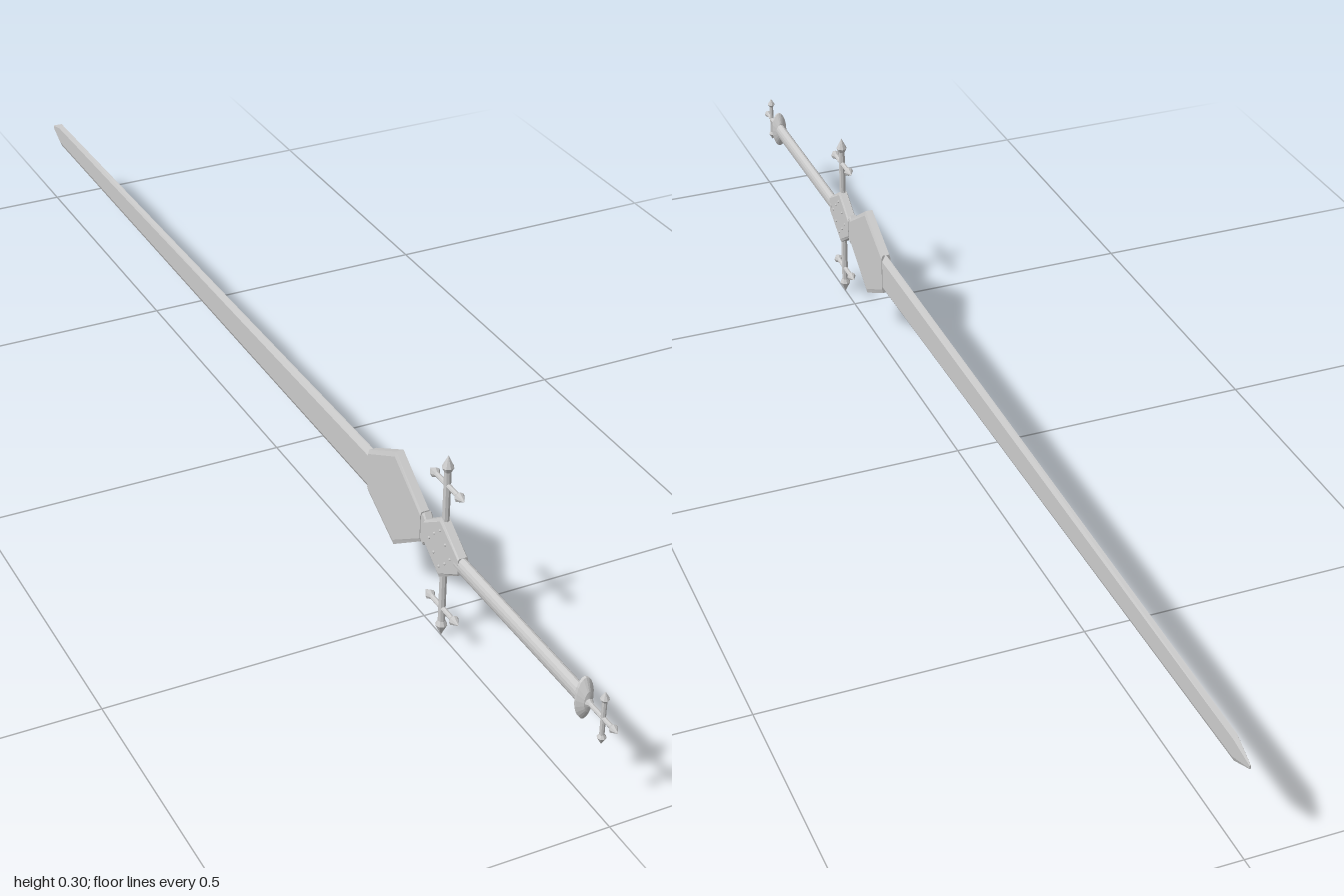
import * as THREE from 'three';

const material = new THREE.MeshStandardMaterial({ color: 0xcccccc });
const flatMaterial = new THREE.MeshStandardMaterial({ color: 0xcccccc, flatShading: true });
const MID = 0.153; // height of the sword's long axis

// Loft of bevelled eight-sided sections along z.
// Each section: [z, half height, half height of the flat, half thickness, half thickness of the edge]
function loft(name, sections) {
  const pos = [], index = [], n = 8;
  for (const [z, h, f, t, e] of sections) {
    const ring = [[t, -f], [t, f], [e, h], [-e, h], [-t, f], [-t, -f], [-e, -h], [e, -h]];
    for (const [x, y] of ring) pos.push(x, y, z);
  }
  for (let i = 0; i < sections.length - 1; i++) {
    for (let j = 0; j < n; j++) {
      const a = i * n + j, b = i * n + (j + 1) % n;
      index.push(a, b, b + n, a, b + n, a + n);
    }
  }
  const last = (sections.length - 1) * n;
  for (let j = 1; j < n - 1; j++) {
    index.push(0, j + 1, j, last, last + j, last + j + 1);
  }
  const g = new THREE.BufferGeometry();
  g.setAttribute('position', new THREE.Float32BufferAttribute(pos, 3));
  g.setIndex(index);
  g.computeVertexNormals();
  const mesh = new THREE.Mesh(g, flatMaterial);
  mesh.name = name;
  return mesh;
}

// Turned part along +z from [radius, z] pairs
function turned(name, profile, sides, mat = material) {
  const g = new THREE.LatheGeometry(profile.map(([r, z]) => new THREE.Vector2(r, z)), sides);
  g.rotateX(Math.PI / 2);
  const mesh = new THREE.Mesh(g, mat);
  mesh.name = name;
  return mesh;
}

// Bar from the origin along +z, ending in a pointed finial
function pointedBar(name, length, r, tipR, tipL) {
  return turned(name, [
    [0, 0], [r, 0], [r, length - tipL], [tipR, length - tipL * 0.72], [0, length],
  ], 8, flatMaterial);
}

// Small cross: bars along +-z and +-y as listed
function bars(name, list, r, tipR, tipL) {
  const group = new THREE.Group();
  group.name = name;
  for (const [angle, length] of list) {
    const bar = pointedBar('pointedBar', length, r, tipR, tipL);
    bar.rotation.x = angle;
    group.add(bar);
  }
  return group;
}

export function createModel() {
  const sword = new THREE.Group();
  sword.name = 'sword';
  const body = new THREE.Group();
  body.name = 'swordBody';
  body.position.y = MID;
  sword.add(body);

  // Long tapering blade with bevelled edges
  body.add(loft('blade', [
    [-0.995, 0.003, 0.002, 0.001, 0.0005],
    [-0.955, 0.022, 0.014, 0.004, 0.0008],
    [-0.12, 0.031, 0.021, 0.006, 0.001],
    [0.36, 0.036, 0.025, 0.007, 0.001],
  ]));

  // Wide diamond block at the blade's root
  body.add(loft('bladeRoot', [
    [0.33, 0.036, 0.029, 0.008, 0.006],
    [0.412, 0.08, 0.072, 0.008, 0.006],
    [0.492, 0.025, 0.019, 0.008, 0.006],
  ]));

  // Notched collar joining root and guard
  body.add(loft('collar', [
    [0.478, 0.01, 0.008, 0.007, 0.005],
    [0.498, 0.028, 0.024, 0.007, 0.005],
    [0.512, 0.011, 0.009, 0.007, 0.005],
  ]));

  // Diamond guard plate
  body.add(loft('guard', [
    [0.502, 0.018, 0.014, 0.008, 0.006],
    [0.548, 0.05, 0.044, 0.008, 0.006],
    [0.602, 0.014, 0.011, 0.008, 0.006],
  ]));

  // Studs in a diamond pattern on both guard faces
  const studGeometry = new THREE.SphereGeometry(0.0022, 8, 6);
  for (const side of [-1, 1]) {
    for (let i = 0; i < 8; i++) {
      const a = i * Math.PI / 4;
      const k = i % 2 ? 0.75 : 1;
      const stud = new THREE.Mesh(studGeometry, material);
      stud.name = 'guardStud';
      stud.position.set(side * 0.008, Math.sin(a) * 0.03 * k, 0.55 + Math.cos(a) * 0.03 * k);
      body.add(stud);
    }
  }

  // Guard arms above and below, each crossed by a shorter bar
  for (const side of [-1, 1]) {
    const arm = bars('guardArm', [[-side * Math.PI / 2, 0.152]], 0.0055, 0.009, 0.026);
    arm.position.z = 0.55;
    const cross = bars('guardCrossbar', [[0, 0.049], [Math.PI, 0.049]], 0.004, 0.008, 0.02);
    cross.position.set(0, side * 0.104, 0.55);
    body.add(arm, cross);
  }

  // Oval grip
  const grip = turned('grip', [[0, 0.59], [0.014, 0.59], [0.014, 0.92], [0, 0.92]], 16, flatMaterial);
  grip.scale.x = 0.6;
  body.add(grip);

  // Oval pommel disc
  const pommel = turned('pommel', [
    [0, 0.908], [0.016, 0.908], [0.033, 0.917], [0.033, 0.921], [0.016, 0.93], [0, 0.932],
  ], 20, flatMaterial);
  pommel.scale.x = 0.4;
  body.add(pommel);

  // Pointed cross behind the pommel
  const q = Math.PI / 2;
  const cross = bars('pommelCross',
    [[0, 0.035], [Math.PI, 0.045], [q, 0.042], [-q, 0.042]], 0.0035, 0.0065, 0.016);
  cross.position.z = 0.965;
  body.add(cross);

  return sword;
}
